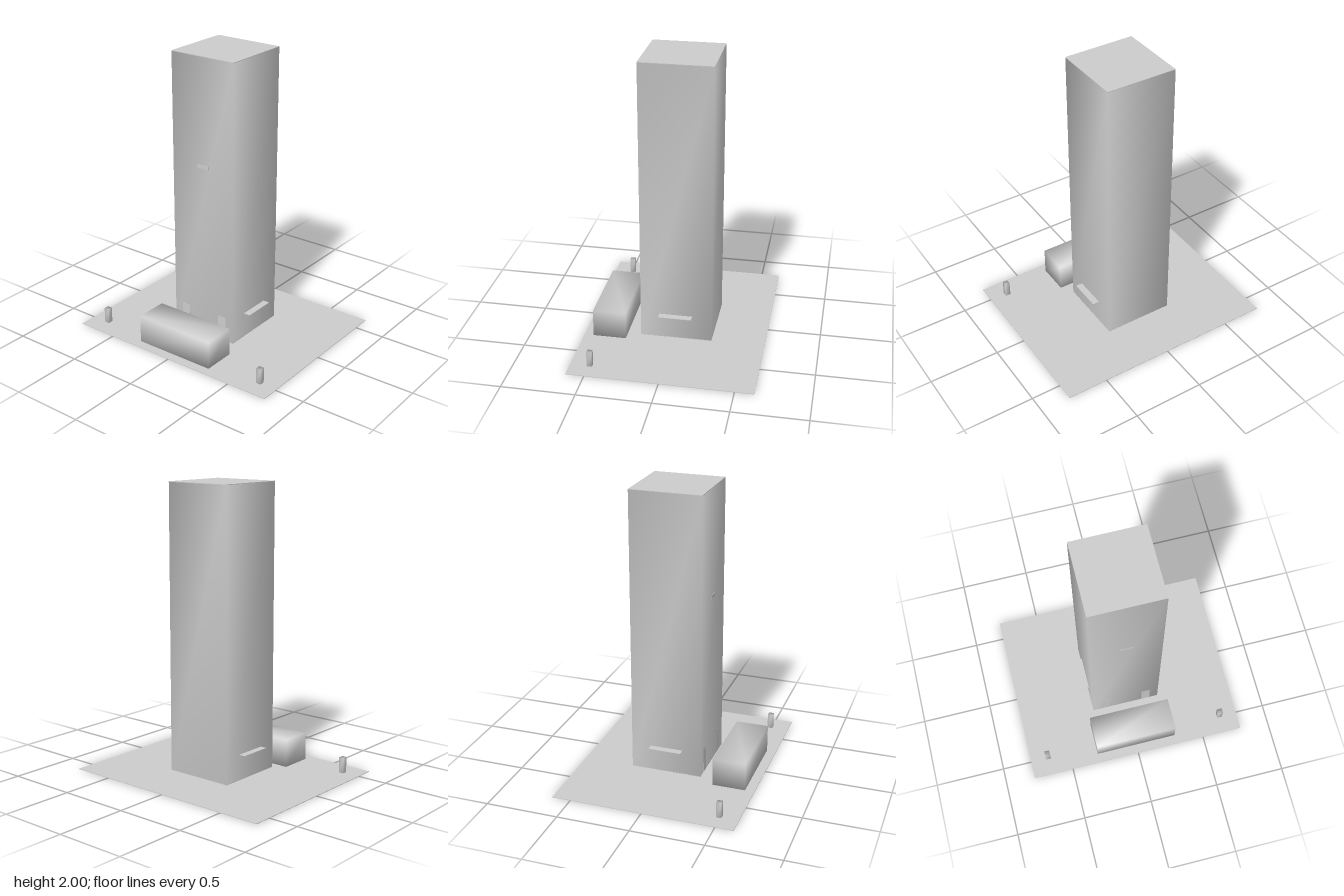
import * as THREE from 'three';
import { mergeVertices } from 'three/addons/utils/BufferGeometryUtils.js';

// Box spanning two corners; soft boxes share averaged normals at their corners
function boxBetween([x0, y0, z0], [x1, y1, z1], { soft = false, caps = true } = {}) {
  let g = new THREE.BoxGeometry(x1 - x0, y1 - y0, z1 - z0);
  if (!caps) {
    // drop the top and bottom faces
    const index = Array.from(g.index.array);
    g.setIndex([...index.slice(0, 12), ...index.slice(24)]);
    g.clearGroups();
  }
  if (soft) {
    g.deleteAttribute('normal');
    g.deleteAttribute('uv');
    g = mergeVertices(g);
    g.computeVertexNormals();
  }
  g.translate((x0 + x1) / 2, (y0 + y1) / 2, (z0 + z1) / 2);
  return g;
}

export function createModel() {
  const model = new THREE.Group();
  model.name = 'towerBlock';
  const concrete = new THREE.MeshStandardMaterial({ color: 0xcccccc });
  concrete.name = 'concrete grey';

  const add = (name, geometry) => {
    const mesh = new THREE.Mesh(geometry, concrete);
    mesh.name = name;
    model.add(mesh);
    return mesh;
  };

  // Paved plot
  add('groundSlab', boxBetween([-0.79, 0, -0.63], [0.79, 0.004, 0.625]));

  // Tower shaft with flat roof and underside
  add('towerShaft', boxBetween([-0.248, 0.02, -0.265], [0.247, 1.996, 0.23], { soft: true, caps: false }));
  add('roof', boxBetween([-0.248, 1.996, -0.265], [0.247, 2, 0.23]));
  add('towerUnderside', boxBetween([-0.248, 0.02, -0.265], [0.247, 0.024, 0.23]));

  // Small plate high on the front
  add('frontPlate', boxBetween([-0.045, 1.245, 0.229], [0.045, 1.27, 0.232]));

  // Low block before the entrance
  add('frontBlock', boxBetween([-0.295, 0, 0.33], [0.295, 0.2, 0.56], { soft: true }));

  for (const side of [-1, 1]) {
    const name = side > 0 ? 'left' : 'right';
    const span = (a, b) => (side > 0 ? [a, b] : [-b, -a]);

    // Thin canopy on each flank, in two panels
    const [c0, c1] = span(0.245, 0.295);
    for (const [z0, z1] of [[-0.13, 0.04], [0.04, 0.1]]) {
      add(name + 'Canopy', boxBetween([c0, 0.197, z0], [c1, 0.2, z1]));
    }

    // Entrance panel at the foot of the front wall
    const [e0, e1] = span(0.123, 0.185);
    add(name + 'EntrancePanel', boxBetween([e0, 0.022, 0.229], [e1, 0.2, 0.231]));

    // Bollard at each front corner
    const [b0, b1] = span(0.642, 0.678);
    add(name + 'Bollard', boxBetween([b0, 0, 0.473], [b1, 0.113, 0.509], { soft: true }));
  }

  return model;
}
